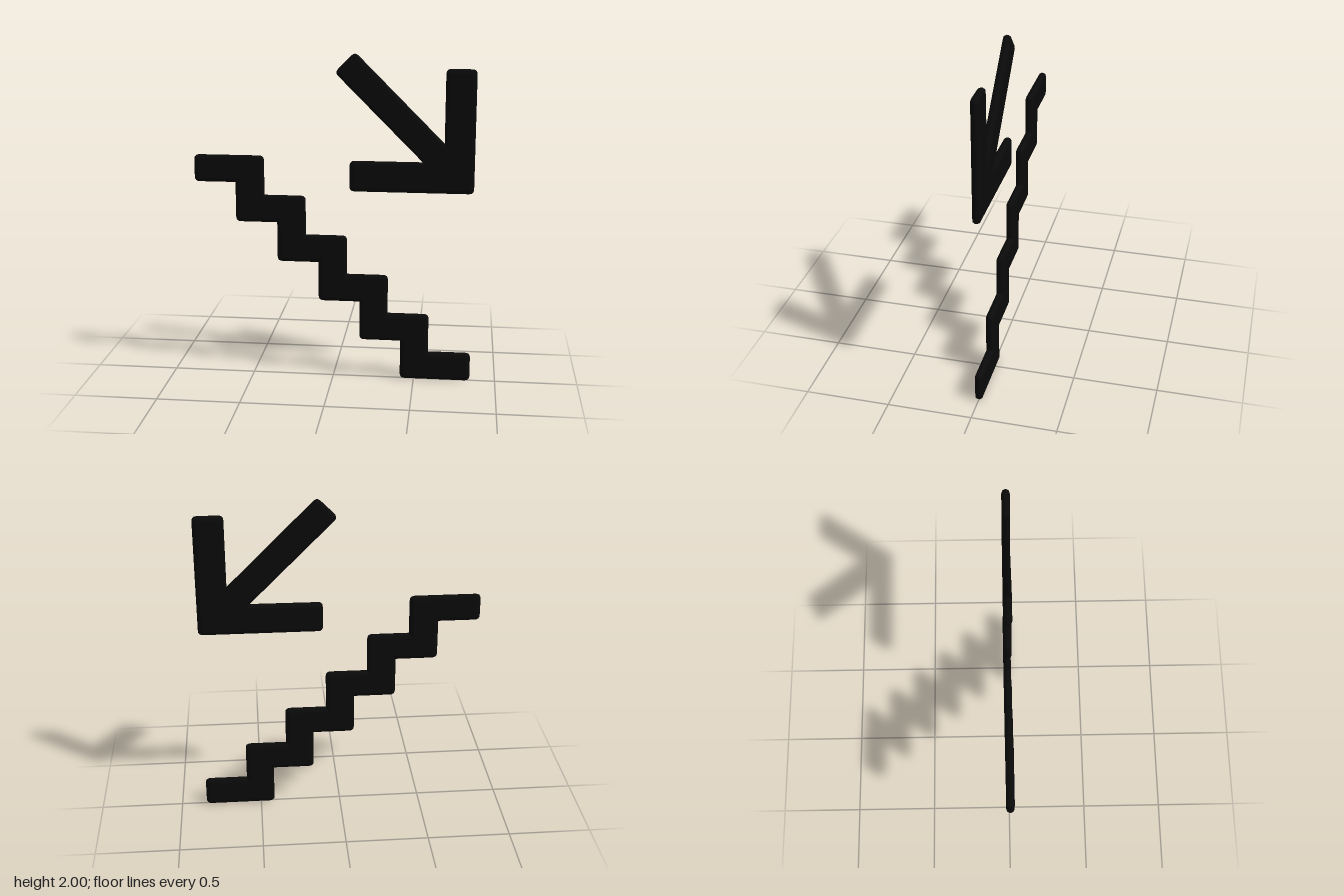
import * as THREE from 'three';

const material = new THREE.MeshStandardMaterial({ color: 0x0a0a0a });

// Clockwise outline whose outward corners are softened; inward corners stay sharp.
function roundedShape(corners, radius) {
  const points = corners.map(([x, y]) => new THREE.Vector2(x, y));
  const shape = new THREE.Shape();
  points.forEach((p, i) => {
    const toPrev = points.at(i - 1).clone().sub(p).normalize();
    const toNext = points[(i + 1) % points.length].clone().sub(p).normalize();
    const convex = toPrev.cross(toNext) > 0;
    const a = p.clone().addScaledVector(toPrev, convex ? radius : 0);
    const b = p.clone().addScaledVector(toNext, convex ? radius : 0);
    if (i === 0) shape.moveTo(a.x, a.y);
    else shape.lineTo(a.x, a.y);
    if (convex) shape.quadraticCurveTo(p.x, p.y, b.x, b.y);
  });
  shape.closePath();
  return shape;
}

// Thin plate with bevelled rims on both faces.
function plate(name, corners) {
  const geometry = new THREE.ExtrudeGeometry(roundedShape(corners, 0.03), {
    depth: 0.01,
    curveSegments: 4,
    bevelEnabled: true,
    bevelThickness: 0.019,
    bevelSize: 0.024,
    bevelOffset: -0.024,
    bevelSegments: 2,
  });
  geometry.translate(0, 0, -0.005);
  const mesh = new THREE.Mesh(geometry, material);
  mesh.name = name;
  return mesh;
}

// Zigzag staircase band: upper edge going down, lower edge coming back.
function stairCorners() {
  const steps = 5;
  const upper = [[-0.845, 1.385]];
  const lower = [[0.845, 0]];
  for (let i = 0; i < steps; i++) {
    const x = -0.42 + 0.2515 * i;
    upper.push([x, 1.385 - 0.2415 * i], [x, 1.385 - 0.2415 * (i + 1)]);
    const u = 0.415 - 0.2525 * i;
    lower.push([u, 0.244 * i], [u, 0.244 * (i + 1)]);
  }
  upper.push([0.845, 0.178]);
  lower.push([-0.845, 1.22]);
  return [...upper, ...lower];
}

export function createModel() {
  const group = new THREE.Group();
  group.name = 'stairsDownSign';
  group.add(plate('staircase', stairCorners()));

  // Arrow pointing down to the right, with a diagonal shaft
  group.add(plate('arrow', [
    [0.84, 1.18], [0.098, 1.18], [0.098, 1.365], [0.535, 1.365],
    [0.008, 1.892], [0.127, 2.012], [0.66, 1.48], [0.66, 1.92], [0.84, 1.92],
  ]));
  return group;
}
